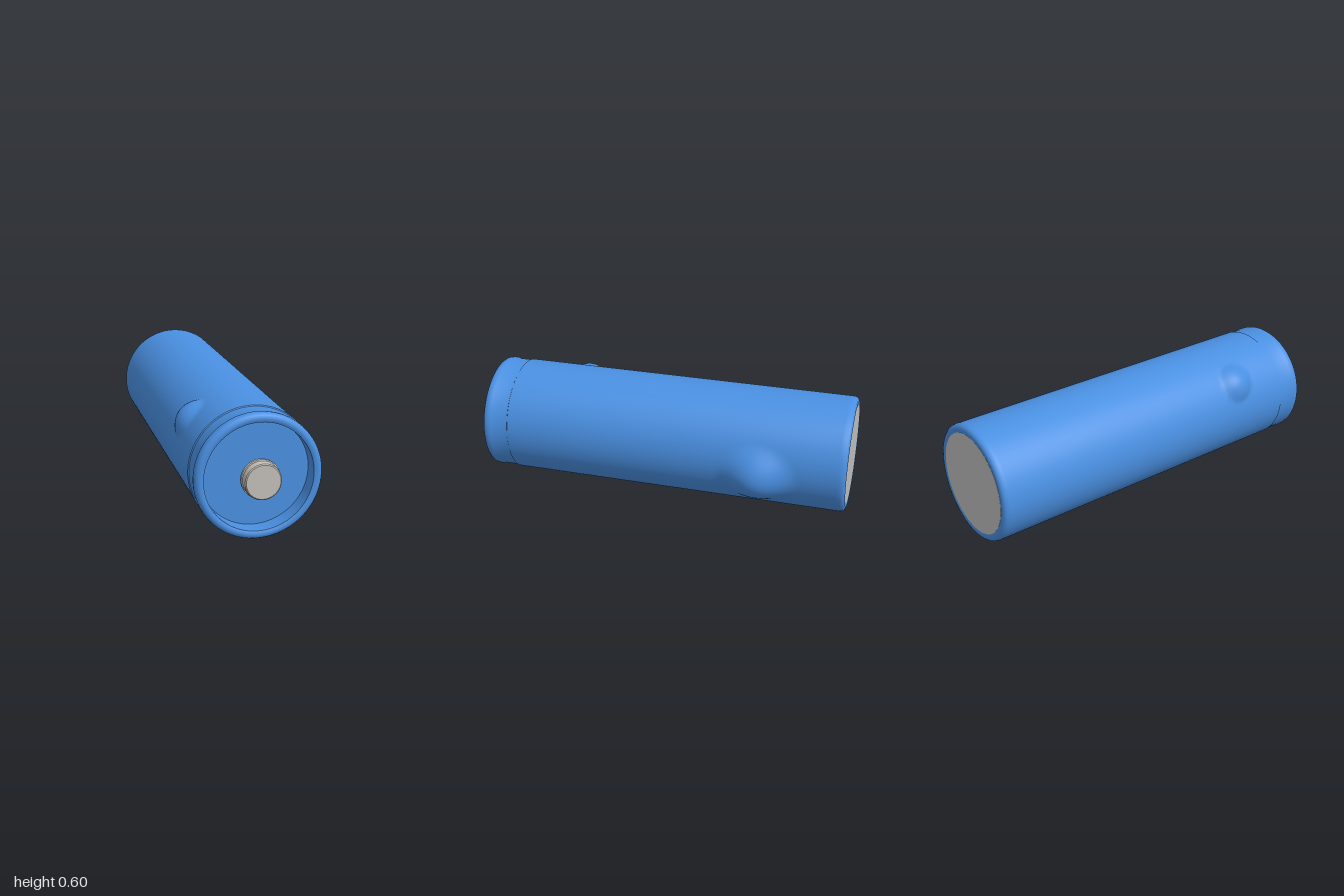
import * as THREE from 'three';
import { toCreasedNormals } from 'three/addons/utils/BufferGeometryUtils.js';

const blue = new THREE.MeshStandardMaterial({ color: 0x4a90e2 });
blue.name = 'blue sleeve';
const warmGrey = new THREE.MeshStandardMaterial({ color: 0xc2beb8 });
warmGrey.name = 'warm grey contact';
const grey = new THREE.MeshStandardMaterial({ color: 0xc0c0c0 });
grey.name = 'grey base';

// Swellings on the sleeve: angle, half angle, z, half length, height, falloff
const rad = THREE.MathUtils.degToRad;
const bulges = [
  { a: rad(-12), da: rad(38), z: -0.55, dz: 0.22, h: 0.07, fall: d => 0.5 + 0.5 * Math.cos(Math.PI * d) },
  { a: rad(143), da: rad(21), z: 0.5, dz: 0.1, h: 0.04, fall: d => Math.pow(1 - d * d, 1.2) },
];

// Lathe about the z axis from [radius, z] pairs
function turned(pairs, segments) {
  const geo = new THREE.LatheGeometry(pairs.map(([r, z]) => new THREE.Vector2(r, z)), segments);
  return geo.rotateX(Math.PI / 2);
}

function swell(geo) {
  const p = geo.attributes.position;
  for (let i = 0; i < p.count; i++) {
    const x = p.getX(i), y = p.getY(i), z = p.getZ(i);
    const r = Math.hypot(x, y), angle = Math.atan2(y, x);
    if (r < 0.29) continue;
    let extra = 0;
    for (const b of bulges) {
      const turn = Math.atan2(Math.sin(angle - b.a), Math.cos(angle - b.a));
      const d = Math.hypot(turn / b.da, (z - b.z) / b.dz);
      if (d < 1) extra += b.h * b.fall(d);
    }
    p.setXY(i, x * (1 + extra / r), y * (1 + extra / r));
  }
  return geo;
}

export function createModel() {
  const group = new THREE.Group();
  group.name = 'battery';
  const cell = new THREE.Group();
  cell.name = 'cell';
  cell.position.set(-0.033, 0.3, 0);
  group.add(cell);

  function add(name, geo, material) {
    const mesh = new THREE.Mesh(toCreasedNormals(geo, 0.6), material);
    mesh.name = name;
    cell.add(mesh);
  }

  // Sleeve: rounded back edge, long wall, groove, rolled rim, recessed floor
  const profile = [[0.257, -0.997], [0.275, -1], [0.287, -0.997], [0.296, -0.989], [0.3, -0.975]];
  const rows = 100;
  for (let i = 1; i <= rows; i++) profile.push([0.3, -0.975 + (1.772 * i) / rows]);
  profile.push([0.295, 0.8], [0.295, 0.885], [0.299, 0.895], [0.3, 0.91], [0.298, 0.924], [0.291, 0.934],
    [0.28, 0.94], [0.268, 0.939], [0.258, 0.934], [0.258, 0.85], [0, 0.85]);
  add('sleeve', swell(turned(profile, 144)), blue);

  // Flat contact at the back
  add('baseDisc', turned([[0, -0.99], [0, -0.998], [0.258, -0.998], [0.258, -0.99]].reverse().slice(0, 3).reverse(), 96), grey);

  // Raised contact with a flange and a hidden stem
  add('button', turned([[0, 0.94], [0.092, 0.94], [0.092, 0.955], [0.087, 0.958], [0.087, 0.988],
    [0.085, 0.996], [0.08, 1], [0, 1]], 64), warmGrey);
  add('buttonStem', turned([[0.035, 0.85], [0.035, 0.94]], 32), warmGrey);

  return group;
}
